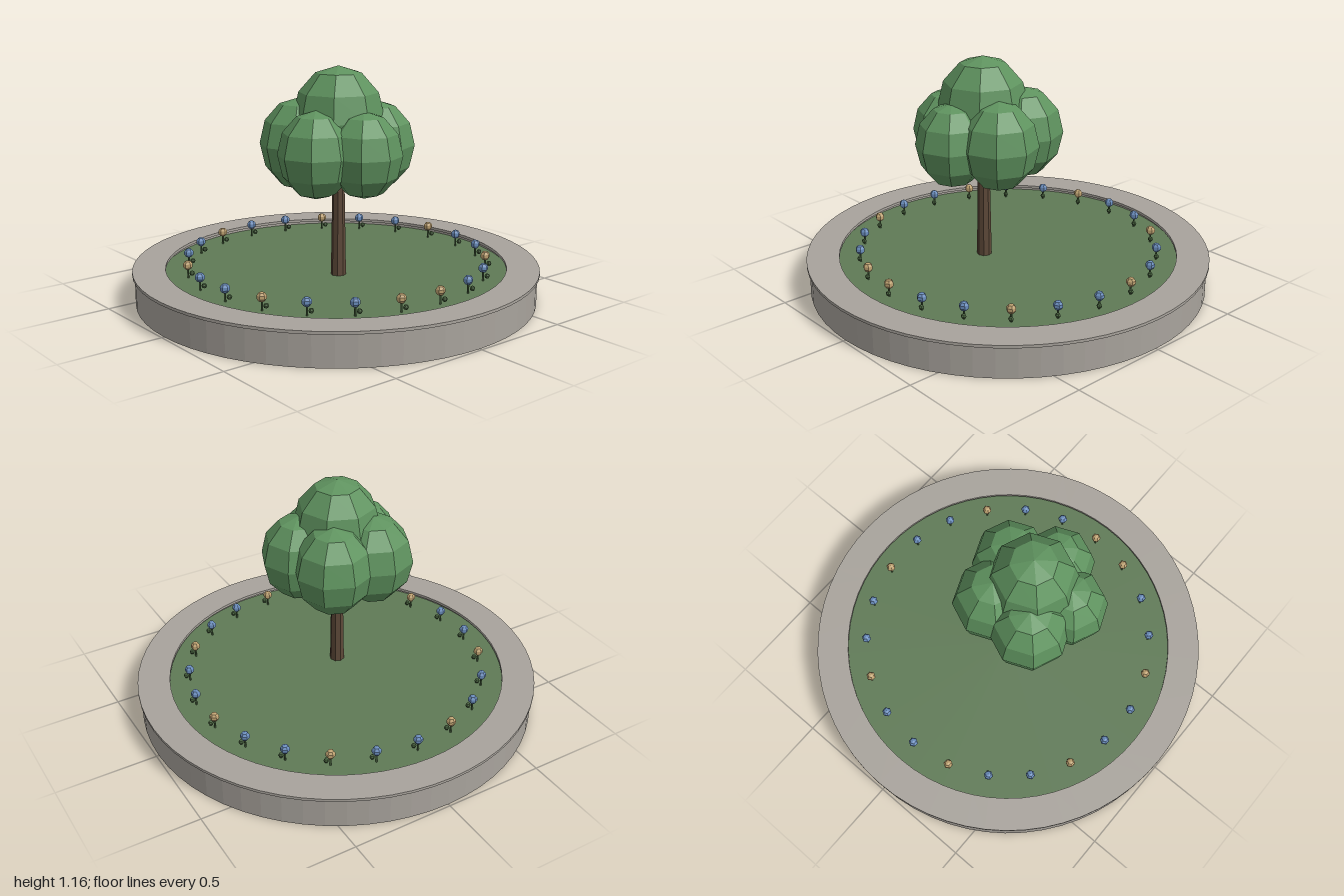
import * as THREE from 'three';

const mat = (color, flatShading = true) => new THREE.MeshStandardMaterial({ color, flatShading });
const stone = mat(0xa8a39c);
const grass = mat(0x5f7a56, false);
const soil = mat(0x3f3028, false);
const bark = mat(0x5c4838);
const foliage = mat(0x5f935f);
const stemGreen = mat(0x4a6640);
const blue = mat(0x6a8dbd);
const tan = mat(0xbfa271);

function add(parent, name, geometry, material, x = 0, y = 0, z = 0) {
  const mesh = new THREE.Mesh(geometry, material);
  mesh.name = name;
  mesh.position.set(x, y, z);
  parent.add(mesh);
  return mesh;
}

// Ring with a rectangular section
function ring(inner, outer, y0, y1) {
  const section = [[inner, y0], [outer, y0], [outer, y1], [inner, y1], [inner, y0]];
  return new THREE.LatheGeometry(section.map(([r, y]) => new THREE.Vector2(r, y)), 64);
}

function createTree() {
  const tree = new THREE.Group();
  tree.name = 'tree';
  tree.position.set(0.1, 0, 0.066);
  add(tree, 'trunk', new THREE.CylinderGeometry(0.028, 0.037, 0.54, 8), bark, 0, 0.405, 0);

  // Five clumps around the trunk and one on top, all slightly taller than wide
  const ball = new THREE.SphereGeometry(1, 8, 6);
  const clump = (name, r, stretch, x, y, z) =>
    add(tree, name, ball, foliage, x, y, z).scale.set(r, r * stretch, r);
  [0.18, 0.183, 0.197, 0.197, 0.19].forEach((r, i) => {
    const a = (i / 5) * Math.PI * 2;
    clump('sideFoliage', r, 1.14, Math.cos(a) * 0.19, 0.55 + r * 1.14, Math.sin(a) * 0.19);
  });
  clump('topFoliage', 0.22, 1.14, 0, 0.905, 0);
  return tree;
}

function createFlowers() {
  const flowers = new THREE.Group();
  flowers.name = 'flowerRing';
  const stem = new THREE.CylinderGeometry(0.005, 0.005, 0.06, 5);
  const leaf = new THREE.SphereGeometry(0.013, 6, 4);
  const head = new THREE.SphereGeometry(0.024, 6, 5);
  const count = 22;
  for (let i = 1; i <= count; i++) {
    const a = (i / count) * Math.PI * 2;
    const flower = new THREE.Group();
    flower.name = 'flower';
    flower.position.set(Math.cos(a) * 0.738, 0.135, Math.sin(a) * 0.738 - 0.002);
    add(flower, 'stem', stem, stemGreen, 0, 0.028, 0);
    add(flower, 'leaf', leaf, stemGreen, 0.014, 0.026, -0.014);
    add(flower, 'bloom', head, i % 3 === 1 ? tan : blue, 0, 0.066, 0);
    flowers.add(flower);
  }
  return flowers;
}

export function createModel() {
  const model = new THREE.Group();
  model.name = 'roundPlanter';

  // Stone wall with a thin overhanging coping
  add(model, 'wall', ring(0.855, 0.988, 0, 0.152), stone);
  add(model, 'coping', ring(0.84, 1, 0.152, 0.166), stone);

  // Soil bed topped with grass
  add(model, 'soil', new THREE.CylinderGeometry(0.856, 0.856, 0.124, 64), soil, 0, 0.063, 0);
  add(model, 'lawn', new THREE.CylinderGeometry(0.855, 0.855, 0.012, 64), grass, 0, 0.131, 0);

  model.add(createTree(), createFlowers());
  return model;
}
